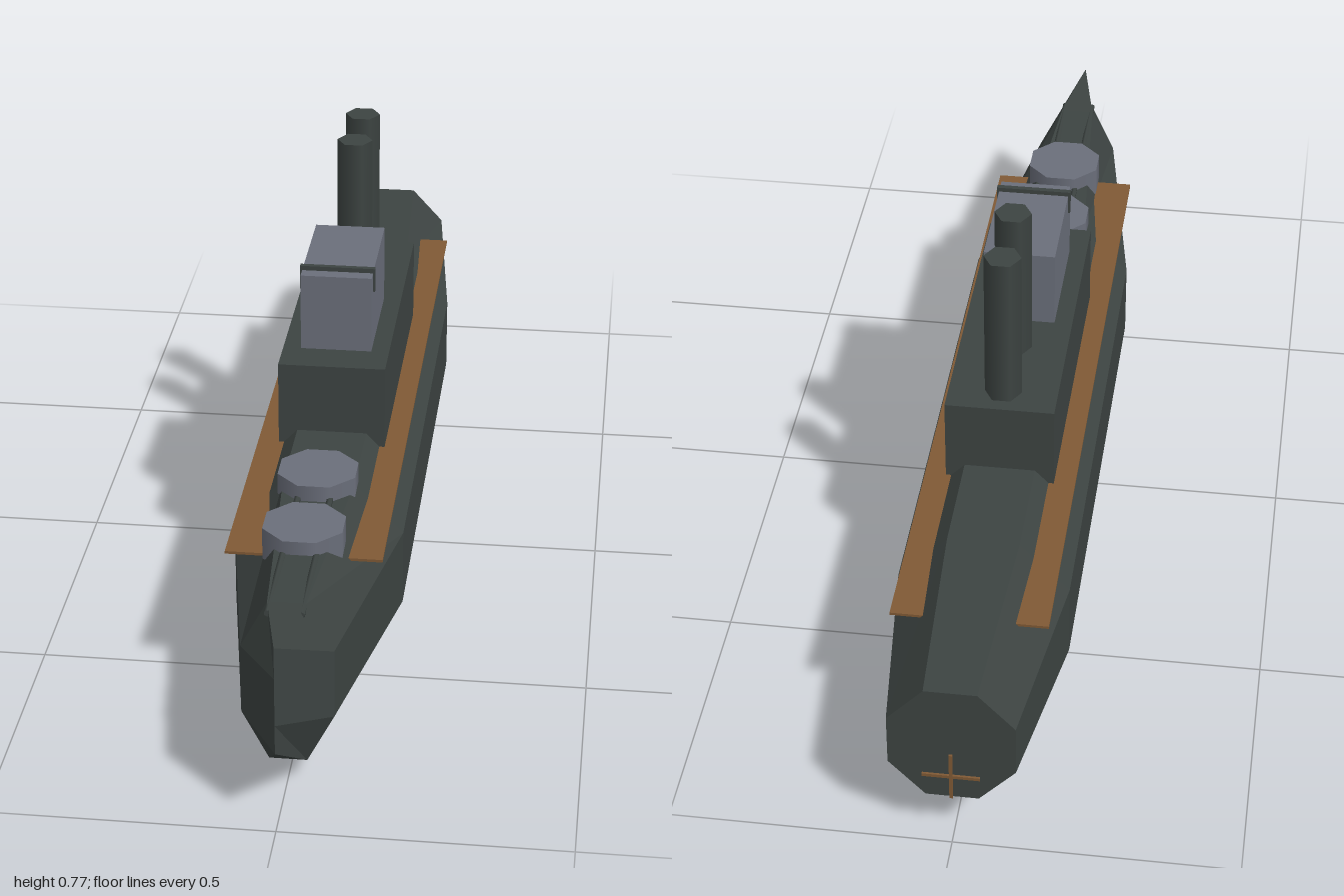
import * as THREE from 'three';

const mat = (name, color) => {
  const m = new THREE.MeshStandardMaterial({ color });
  m.name = name;
  return m;
};

// Lofted hull: eight-sided sections from stern to bow
function hullGeometry() {
  // z, chine half width, keel/deck half width, heights: keel, lower chine, upper chine, deck
  const stations = [
    [-0.988, 0.11, 0.046, 0.1, 0.17, 0.27, 0.34],
    [-0.6, 0.155, 0.065, 0, 0.1, 0.245, 0.34],
    [0.4, 0.155, 0.065, 0, 0.1, 0.245, 0.34],
    [0.84, 0.08, 0.033, 0.038, 0.13, 0.26, 0.35],
    [1, 0, 0, 0.155, 0.21, 0.3, 0.36],
  ];
  const rings = stations.map(([z, w, d, y0, y1, y2, y3]) => [
    [d, y0, z], [w, y1, z], [w, y2, z], [d, y3, z],
    [-d, y3, z], [-w, y2, z], [-w, y1, z], [-d, y0, z],
  ]);
  const pos = [];
  const tri = (a, b, c) => pos.push(...a, ...b, ...c);
  for (let s = 0; s < rings.length - 1; s++) {
    for (let i = 0; i < 8; i++) {
      const j = (i + 1) % 8;
      const a = rings[s][i], b = rings[s][j], c = rings[s + 1][j], d = rings[s + 1][i];
      tri(a, b, c);
      tri(a, c, d);
    }
  }
  // flat transom
  for (let i = 1; i < 7; i++) tri(rings[0][0], rings[0][i + 1], rings[0][i]);
  const g = new THREE.BufferGeometry();
  g.setAttribute('position', new THREE.Float32BufferAttribute(pos, 3));
  g.computeVertexNormals();
  return g;
}

export function createModel() {
  const dark = mat('darkSteel', 0x3d4442);
  const grey = mat('greySteel', 0x6b6f7b);
  const wood = mat('brownWood', 0x805a35);
  const ship = new THREE.Group();
  ship.name = 'warship';

  const add = (name, geometry, material, x, y, z) => {
    const m = new THREE.Mesh(geometry, material);
    m.name = name;
    m.position.set(x, y, z);
    ship.add(m);
    return m;
  };
  const box = (name, material, [w, h, d], [x, y, z]) =>
    add(name, new THREE.BoxGeometry(w, h, d), material, x, y, z);

  add('hull', hullGeometry(), dark, 0, 0, 0);

  // Superstructure and bridge
  box('superstructure', dark, [0.2, 0.18, 0.59], [0, 0.385, -0.095]);
  box('bridge', grey, [0.133, 0.155, 0.24], [0, 0.547, 0.006]);
  box('bridgeBand', dark, [0.141, 0.046, 0.01], [0, 0.61, 0.096]);

  // Side walkways
  for (const s of [1, -1]) {
    box(s > 0 ? 'leftWalkway' : 'rightWalkway', wood, [0.07, 0.005, 1.395], [s * 0.104, 0.311, -0.078]);
  }

  // Six-sided funnels
  for (const z of [-0.195, -0.335]) {
    add('funnel', new THREE.CylinderGeometry(0.034, 0.034, 0.31, 6), dark, 0, 0.617, z).rotation.y = Math.PI / 6;
  }

  // Gun turrets with twin barrels
  for (const z of [0.405, 0.605]) {
    add('turret', new THREE.CylinderGeometry(0.076, 0.076, 0.06, 8), grey, 0, 0.342, z).rotation.y = Math.PI / 8;
    for (const s of [1, -1]) {
      const barrel = new THREE.CylinderGeometry(0.006, 0.006, 0.25, 6).rotateX(Math.PI / 2);
      add('gunBarrel', barrel, dark, s * 0.029, 0.345, z + 0.14);
    }
  }

  // Crossed propeller blades
  box('propellerBladeAcross', wood, [0.1, 0.006, 0.004], [0, 0.157, -0.998]);
  box('propellerBladeUpright', wood, [0.006, 0.1, 0.004], [0, 0.157, -0.998]);

  return ship;
}
